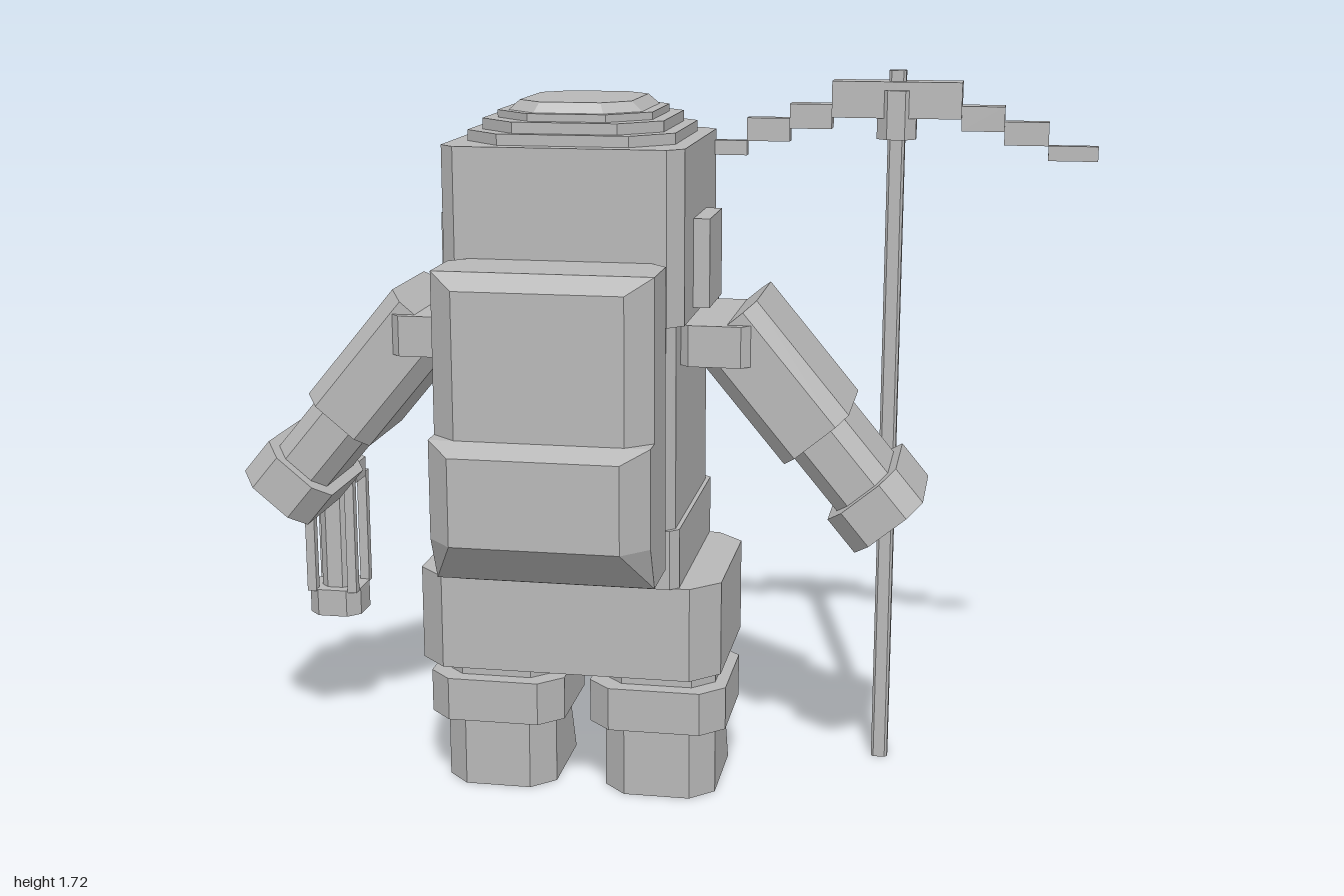
import * as THREE from 'three';
import { ConvexGeometry } from 'three/addons/geometries/ConvexGeometry.js';

const stone = new THREE.MeshStandardMaterial({ color: 0xb8b8b8 });
stone.name = 'stone grey';
const CX = -0.18; // middle of the figure

// Corner points of a rectangle with cut corners at height y
function ring(x0, x1, z0, z1, y, c) {
  const pts = [];
  for (const [x, sx] of [[x0, 1], [x1, -1]]) {
    for (const [z, sz] of [[z0, 1], [z1, -1]]) {
      pts.push(new THREE.Vector3(x + sx * c, y, z), new THREE.Vector3(x, y, z + sz * c));
    }
  }
  return pts;
}

function add(parent, name, geometry) {
  const mesh = new THREE.Mesh(geometry, stone);
  mesh.name = name;
  parent.add(mesh);
  return mesh;
}

const hull = (parent, name, pts) => add(parent, name, new ConvexGeometry(pts));

// Upright block with cut corners
function prism(parent, name, x0, x1, y0, y1, z0, z1, c) {
  return hull(parent, name, [...ring(x0, x1, z0, z1, y0, c), ...ring(x0, x1, z0, z1, y1, c)]);
}

function box(parent, name, x0, x1, y0, y1, z0, z1) {
  const g = new THREE.BoxGeometry(x1 - x0, y1 - y0, z1 - z0);
  return add(parent, name, g.translate((x0 + x1) / 2, (y0 + y1) / 2, (z0 + z1) / 2));
}

// Points of a z-y profile repeated at both sides of the middle
function sides(list) {
  return list.flatMap(([w, y, z]) => [-w, w].map((x) => new THREE.Vector3(CX + x, y, z)));
}

function buildBody(root) {
  prism(root, 'hips', -0.54, 0.18, 0.345, 0.57, -0.315, 0.16, 0.065);
  prism(root, 'belt', -0.447, 0.09, 0.57, 0.71, -0.345, 0.17, 0.02);
  prism(root, 'torso', -0.44, 0.08, 0.71, 1.2, -0.325, 0.165, 0.02);
  box(root, 'buckle', CX - 0.05, CX + 0.05, 0.6, 0.69, -0.37, -0.34);
  box(root, 'shirtClasp', CX - 0.05, CX + 0.05, 0.74, 0.8, -0.345, -0.32);
}

function buildHead(root) {
  prism(root, 'head', -0.457, 0.097, 1.18, 1.575, -0.37, 0.17, 0.035);
  // Stepped crown
  const steps = [[0.24, 0.25, 1.575, 1.6], [0.21, 0.23, 1.6, 1.625], [0.18, 0.205, 1.625, 1.642]];
  for (const [w, d, y0, y1] of steps) {
    prism(root, 'crownStep', CX - w, CX + w, y0, y1, -0.12 - d, -0.12 + d, 0.09);
  }
  hull(root, 'crownTop', [
    ...ring(CX - 0.155, CX + 0.155, -0.315, 0.065, 1.642, 0.075),
    ...ring(CX - 0.13, CX + 0.13, -0.29, 0.045, 1.665, 0.06),
  ]);
  box(root, 'nose', CX - 0.043, CX + 0.043, 1.25, 1.34, -0.455, -0.36);
  hull(root, 'noseBridge', sides([[0.043, 1.34, -0.455], [0.043, 1.37, -0.425], [0.043, 1.37, -0.36], [0.043, 1.34, -0.36]]));
  box(root, 'moustache', CX - 0.105, CX + 0.105, 1.22, 1.295, -0.425, -0.36);
  box(root, 'beard', CX - 0.115, CX + 0.115, 0.82, 1.25, -0.445, -0.32);
  for (const s of [-1, 1]) {
    const span = (a, b) => [CX + s * a, CX + s * b].sort((p, q) => p - q);
    box(root, 'ear', ...span(0.27, 0.315), 1.2, 1.405, -0.18, 0.01);
    box(root, 'brow', ...span(0.075, 0.205), 1.425, 1.48, -0.395, -0.36);
    // Side lock tapering towards the belt
    const P = (x, y, z) => new THREE.Vector3(CX + s * x, y, z);
    const lock = [];
    for (const y of [1.22, 1.14]) {
      lock.push(P(0.1, y, -0.42), P(0.215, y, -0.42), P(0.285, y, -0.35), P(0.285, y, -0.28), P(0.1, y, -0.28));
    }
    lock.push(P(0.13, 0.92, -0.35), P(0.2, 0.92, -0.35), P(0.22, 0.92, -0.31), P(0.13, 0.92, -0.31));
    hull(root, 'sideLock', lock);
    box(root, 'braid', ...span(0.14, 0.18), 0.72, 0.95, -0.34, -0.31);
  }
}

function buildArm(root, s) {
  // Shoulder block
  const xs = [CX + s * 0.25, CX + s * 0.43].sort((a, b) => a - b);
  prism(root, 'shoulder', xs[0], xs[1], 1.08, 1.175, -0.26, 0.1, 0.03);
  const arm = new THREE.Group();
  arm.name = s > 0 ? 'leftArm' : 'rightArm';
  prism(arm, 'sleeve', -0.095, 0.095, -0.335, 0, -0.255, 0.08, 0.035);
  prism(arm, 'forearm', -0.075, 0.075, -0.505, -0.335, -0.225, 0.05, 0.035);
  prism(arm, 'fist', -0.1, 0.1, -0.6, -0.5, -0.255, 0.08, 0.045);
  arm.position.set(CX + s * 0.355, 1.166, 0);
  arm.rotation.z = s * 0.694;
  root.add(arm);
}

function buildLeg(root, s) {
  const x = CX + s * 0.197;
  prism(root, 'shin', x - 0.135, x + 0.135, 0.28, 0.36, -0.23, 0.04, 0.05);
  prism(root, 'bootCuff', x - 0.165, x + 0.165, 0.18, 0.285, -0.265, 0.08, 0.055);
  // Boot with a sloping toe
  hull(root, 'boot', [
    ...ring(x - 0.135, x + 0.135, -0.3, 0.04, 0, 0.055),
    ...ring(x - 0.135, x + 0.135, -0.23, 0.04, 0.165, 0.055),
  ]);
}

function buildBackpack(root) {
  hull(root, 'packUpper', sides([
    [0.2, 1.325, 0.16], [0.2475, 1.325, 0.21], [0.2475, 1.325, 0.35], [0.19, 1.29, 0.4],
    [0.2, 0.9, 0.16], [0.2475, 0.9, 0.21], [0.2475, 0.9, 0.35], [0.19, 0.9, 0.4],
  ]));
  hull(root, 'packLower', sides([
    [0.2, 0.96, 0.16], [0.2475, 0.96, 0.21], [0.2475, 0.96, 0.4], [0.19, 0.935, 0.46],
    [0.19, 0.735, 0.46], [0.2475, 0.735, 0.4], [0.2475, 0.63, 0.21], [0.2475, 0.63, 0.35], [0.2, 0.63, 0.16],
  ]));
}

function buildPickaxe(root) {
  const pick = new THREE.Group();
  pick.name = 'pickaxe';
  pick.position.set(0.53, 0, -0.325);
  prism(pick, 'handle', -0.02, 0.02, 0, 1.72, -0.02, 0.02, 0.006);
  prism(pick, 'collar', -0.046, 0.046, 1.56, 1.675, -0.042, 0.042, 0.025);
  // Curved blade made of stepped blocks
  const blade = [[0, 0.152, 1.61, 1.695, 0.034], [0.152, 0.252, 1.582, 1.64, 0.026],
    [0.252, 0.355, 1.55, 1.605, 0.018], [0.355, 0.47, 1.515, 1.55, 0.012]];
  for (const [a, b, y0, y1, t] of blade) {
    box(pick, 'blade', a, b, y0, y1, -t, t);
    box(pick, 'blade', -b, -a, y0, y1, -t, t);
  }
  root.add(pick);
}

function buildLantern(root) {
  const lantern = new THREE.Group();
  lantern.name = 'lantern';
  lantern.position.set(-0.892, 0, -0.332);
  prism(lantern, 'lanternCap', -0.068, 0.068, 0.66, 0.71, -0.068, 0.068, 0.03);
  prism(lantern, 'lanternBase', -0.068, 0.068, 0.305, 0.375, -0.068, 0.068, 0.03);
  prism(lantern, 'lanternGlass', -0.04, 0.04, 0.375, 0.66, -0.04, 0.04, 0.02);
  for (const x of [-0.054, 0.054]) {
    for (const z of [-0.054, 0.054]) {
      box(lantern, 'lanternBar', x - 0.012, x + 0.012, 0.37, 0.67, z - 0.012, z + 0.012);
    }
  }
  root.add(lantern);
}

export function createModel() {
  const root = new THREE.Group();
  root.name = 'miner';
  buildBody(root);
  buildHead(root);
  for (const s of [-1, 1]) {
    buildArm(root, s);
    buildLeg(root, s);
  }
  buildBackpack(root);
  buildPickaxe(root);
  buildLantern(root);
  return root;
}
